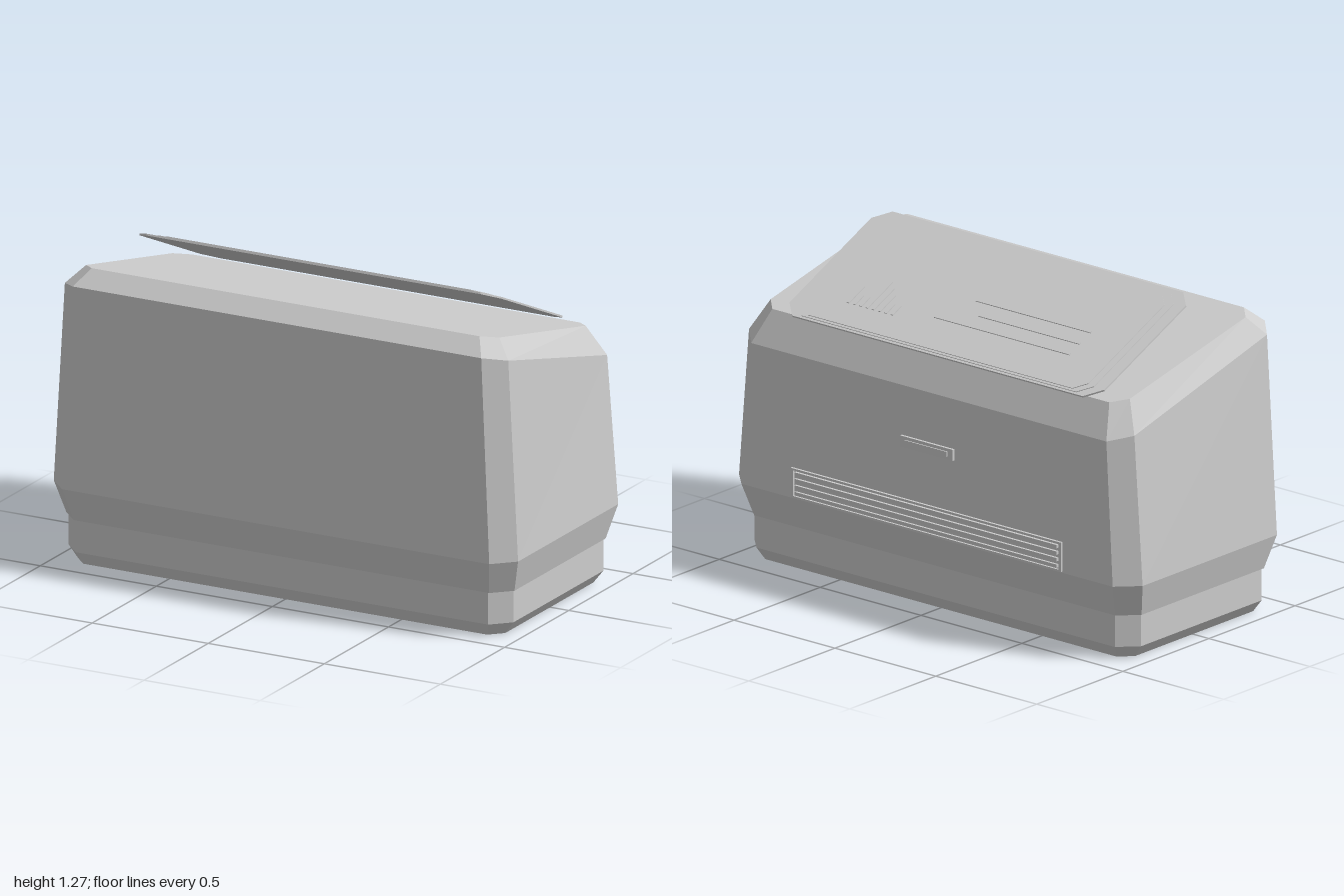
import * as THREE from 'three';

const casing = new THREE.MeshStandardMaterial({ color: 0xcccccc, flatShading: true });
casing.name = 'light grey plastic';

function part(name, geometry, x = 0, y = 0, z = 0) {
  const mesh = new THREE.Mesh(geometry, casing);
  mesh.name = name;
  mesh.position.set(x, y, z);
  return mesh;
}

const box = (name, w, h, d, x, y, z) => part(name, new THREE.BoxGeometry(w, h, d), x, y, z);

// Corner points of a rectangle with cut corners, counter-clockwise from above
function outline(hx, front, back, c) {
  return [
    [hx - c, front], [hx, front - c], [hx, back + c], [hx - c, back],
    [c - hx, back], [-hx, back + c], [-hx, front - c], [c - hx, front],
  ];
}

// Cross-section whose height may slope from front to back
function ring(hx, front, back, c, y, slope = 0) {
  return outline(hx, front, back, c).map(([x, z]) => new THREE.Vector3(x, y + slope * z, z));
}

// Closed, flat-faced skin over a stack of rings
function loft(rings) {
  const points = [];
  const tri = (a, b, c) => points.push(a, b, c);
  for (let r = 0; r < rings.length - 1; r++) {
    const low = rings[r], high = rings[r + 1];
    for (let i = 0; i < 8; i++) {
      const j = (i + 1) % 8;
      tri(low[i], low[j], high[j]);
      tri(low[i], high[j], high[i]);
    }
  }
  const bottom = rings[0], top = rings[rings.length - 1];
  for (let i = 1; i < 7; i++) {
    tri(bottom[0], bottom[i + 1], bottom[i]);
    tri(top[0], top[i], top[i + 1]);
  }
  const geometry = new THREE.BufferGeometry().setFromPoints(points);
  geometry.computeVertexNormals();
  return geometry;
}

// Thin plate with cut corners
function plate(name, hx, front, back, c, y0, y1) {
  return part(name, loft([ring(hx, front, back, c, y0), ring(hx, front, back, c, y1)]));
}

function createLid() {
  const lid = new THREE.Group();
  lid.name = 'tiltedLid';
  lid.add(
    plate('lidPlate', 0.78, 0.64, 0, 0.06, 0, 0.007),
    plate('lidStep', 0.73, 0.615, 0.01, 0.05, 0.007, 0.010),
    plate('lidPanel', 0.70, 0.593, 0.02, 0.045, 0.010, 0.013),
  );
  // Raised long ribs: left end, right end, distance from hinge
  for (const [x0, x1, z] of [[-0.52, 0.15, 0.18], [-0.52, -0.02, 0.245], [-0.52, 0.05, 0.315]]) {
    lid.add(box('longRib', x1 - x0, 0.004, 0.01, (x0 + x1) / 2, 0.015, z));
  }
  // Row of short ribs of varied length
  const lengths = [0.055, 0.055, 0.1, 0.13, 0.16, 0.055, 0.055, 0.1];
  lengths.forEach((length, i) => {
    lid.add(box('shortRib', 0.012, 0.004, length, 0.325 + i * 0.031, 0.015, 0.13 + length / 2));
  });
  // Hinged at the back edge and raised at the front
  lid.position.set(0, 1.003, -0.402);
  lid.rotation.x = -0.422;
  return lid;
}

function createVent() {
  const vent = new THREE.Group();
  vent.name = 'rearVent';
  const y = 0.373, z = -0.466;
  for (const side of [-1, 1]) {
    vent.add(box('ventFrameRail', 1.34, 0.008, 0.014, 0, y + side * 0.055, z));
    vent.add(box('ventFrameEnd', 0.012, 0.118, 0.014, side * 0.664, y, z));
  }
  for (let i = 0; i < 4; i++) {
    vent.add(box('ventSlat', 1.30, 0.013, 0.016, 0, y - 0.039 + i * 0.026, z));
  }
  return vent;
}

function createHandle() {
  const handle = new THREE.Group();
  handle.name = 'rearLatch';
  handle.add(
    box('latchFrame', 0.26, 0.045, 0.018, 0, 0.658, -0.46),
    box('latchBar', 0.21, 0.02, 0.02, 0, 0.658, -0.464),
  );
  return handle;
}

export function createModel() {
  const model = new THREE.Group();
  model.name = 'bevelledCase';

  // Plinth with a bevelled foot
  model.add(part('base', loft([
    ring(0.92, 0.40, -0.385, 0.05, 0),
    ring(0.958, 0.425, -0.415, 0.07, 0.05),
    ring(0.958, 0.425, -0.415, 0.07, 0.18),
  ])));

  // Main shell: flares out, tapers up, then a bevel to the sloping top
  model.add(part('body', loft([
    ring(0.965, 0.43, -0.42, 0.07, 0.178),
    ring(1.0, 0.475, -0.465, 0.08, 0.31),
    ring(0.955, 0.465, -0.455, 0.075, 0.997, 0.263),
    ring(0.89, 0.397, -0.385, 0.055, 1.091, 0.223),
  ])));

  model.add(createLid(), createVent(), createHandle());
  return model;
}
